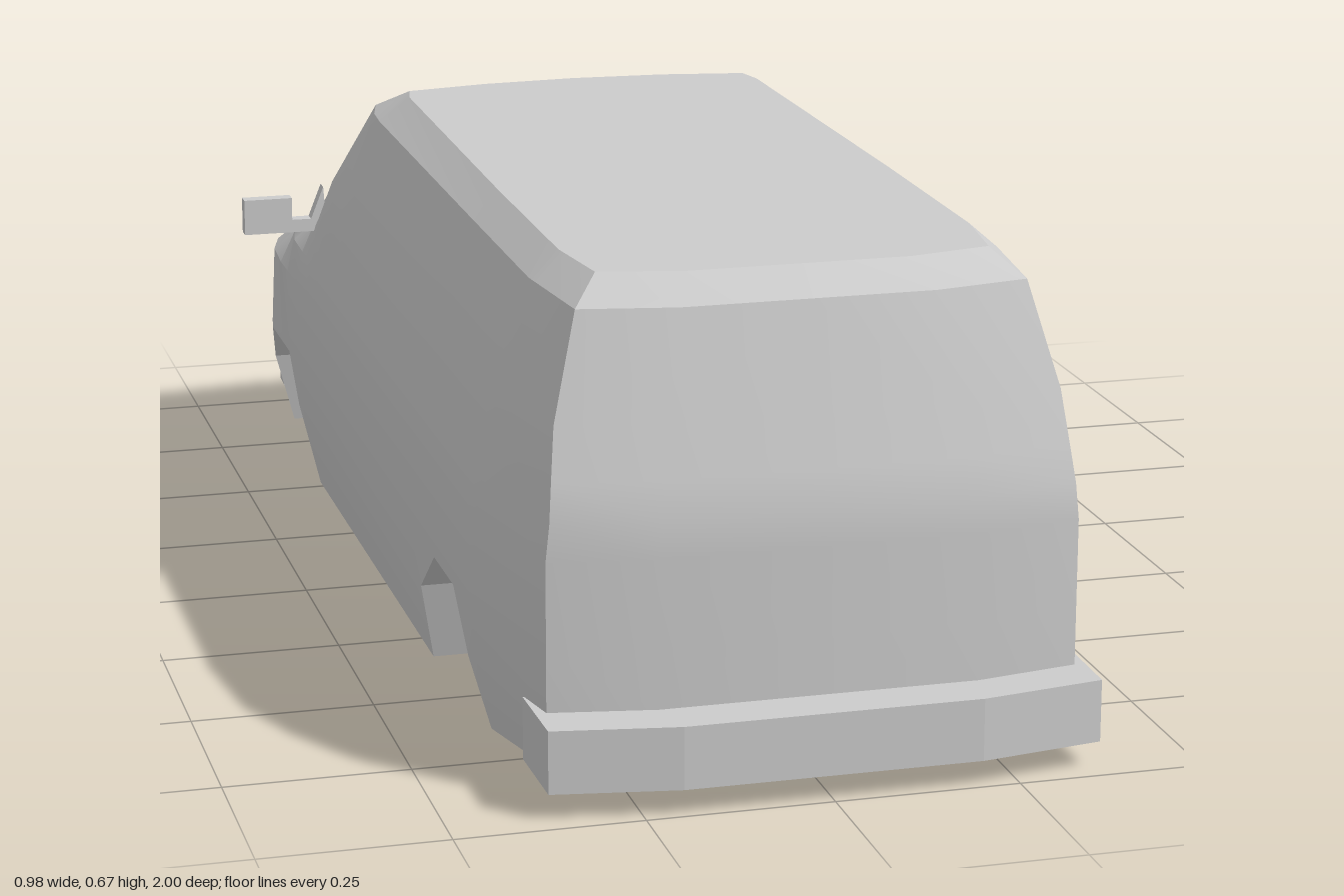
import * as THREE from 'three';
import { toCreasedNormals } from 'three/addons/utils/BufferGeometryUtils.js';

const material = new THREE.MeshStandardMaterial({ color: 0xcccccc });

// Piecewise-linear lookup in [key, value] pairs
function lookup(table, t) {
  if (t <= table[0][0]) return table[0][1];
  for (let i = 1; i < table.length; i++) {
    const [k0, v0] = table[i - 1], [k1, v1] = table[i];
    if (t <= k1) return v0 + (v1 - v0) * (t - k0) / (k1 - k0);
  }
  return table[table.length - 1][1];
}

// Body outline by height: half width, nose z and tail z
const halfWidth = [[0, 0.38], [0.12, 0.405], [0.32, 0.405], [0.49, 0.37], [0.63, 0.32], [0.665, 0.28]];
const noseZ = [[0, -0.96], [0.2, -0.96], [0.32, -0.935], [0.37, -0.8], [0.42, -0.66], [0.63, -0.45], [0.665, -0.375]];
const tailZ = [[0, 0.93], [0.37, 0.93], [0.63, 0.865], [0.665, 0.82]];
const levels = [0, 0.12, 0.2, 0.32, 0.37, 0.42, 0.49, 0.63, 0.665];
// Lower body edge by z, including both wheel arches
const floorEdge = [[0.33, 0], [0.85, 0.035]];
const lowerEdge = [
  [-0.885, 0], [-0.855, 0.12], [-0.79, 0.187], [-0.64, 0.187], [-0.56, 0.12], [-0.52, 0],
  [0.33, 0], [0.37, 0.12], [0.46, 0.19], [0.58, 0.19], [0.67, 0.12], [0.695, 0.025], [0.85, 0.035],
];
const sideColumns = [-0.885, -0.855, -0.79, -0.7, -0.64, -0.56, -0.52, -0.48, -0.42, -0.36, -0.3,
  0.33, 0.37, 0.46, 0.58, 0.67, 0.695];

// One half of a ring at a level, from nose centre along the +x side to tail centre
function halfRing(level) {
  const at = (y) => ({
    w: lookup(halfWidth, y), n: lookup(noseZ, y), r: lookup(tailZ, y),
    f: 0.88 + 0.06 * THREE.MathUtils.clamp((y - 0.32) / 0.31, 0, 1),
  });
  const points = [];
  const front = at(level);
  points.push([0, level, front.n], [front.w * 0.5, level, front.n + 0.008], [front.w * front.f, level, front.n + 0.03]);
  for (const z of sideColumns) {
    const y = Math.max(level, lookup(lowerEdge, z));
    const { w, n, r, f } = at(y);
    const zc = Math.max(z, n + 0.03);
    const plan = lookup([[n + 0.03, f], [n + 0.09, (1 + f) / 2 + 0.015], [n + 0.17, 1], [0.67, 1], [r - 0.025, f]], zc);
    points.push([w * plan, y, zc]);
  }
  const yr = Math.max(level, 0.035), { w, r, f } = at(yr);
  points.push([w * f, yr, r - 0.025], [w * 0.53, yr, r], [0, yr, r]);
  return points;
}

// Complete a half ring by mirroring it across x = 0
const fullRing = (half) => [...half, ...half.slice(1, -1).reverse().map(([x, y, z]) => [-x, y, z])];

// Skin a list of closed rings, skipping collapsed triangles
function loft(rings) {
  const positions = [];
  const tri = new THREE.Triangle();
  const add = (a, b, c) => {
    tri.a.set(...a); tri.b.set(...b); tri.c.set(...c);
    if (tri.getArea() > 1e-7) positions.push(...a, ...b, ...c);
  };
  for (let i = 0; i < rings.length - 1; i++) {
    const lo = rings[i], hi = rings[i + 1];
    for (let j = 0; j < lo.length; j++) {
      const k = (j + 1) % lo.length;
      add(lo[j], hi[j], hi[k]);
      add(lo[j], hi[k], lo[k]);
    }
  }
  const geometry = new THREE.BufferGeometry();
  geometry.setAttribute('position', new THREE.Float32BufferAttribute(positions, 3));
  return toCreasedNormals(geometry, 0.4);
}

function named(geometry, name) {
  const mesh = new THREE.Mesh(geometry, material);
  mesh.name = name;
  return mesh;
}

// Bumper extruded upwards from half of its plan outline
function bumper(name, halfPlan, y, height) {
  const outline = [...halfPlan, ...halfPlan.slice().reverse().map(([x, z]) => [-x, z])];
  const shape = new THREE.Shape(outline.map(([x, z]) => new THREE.Vector2(x, -z)));
  const geometry = new THREE.ExtrudeGeometry(shape, { depth: height, bevelEnabled: false });
  geometry.rotateX(-Math.PI / 2).translate(0, y, 0);
  return named(geometry, name);
}

// Door mirror with its triangular bracket and arm
function doorMirror(side) {
  const outline = [[0.36, 0.41], [0.49, 0.41], [0.49, 0.465], [0.415, 0.465], [0.415, 0.43], [0.385, 0.43], [0.365, 0.48]];
  const shape = new THREE.Shape(outline.map(([x, y]) => new THREE.Vector2(x * side, y)));
  const geometry = new THREE.ExtrudeGeometry(shape, { depth: 0.022, bevelEnabled: false });
  geometry.translate(0, 0, -0.551);
  return named(geometry, side > 0 ? 'leftMirror' : 'rightMirror');
}

export function createModel() {
  const van = new THREE.Group();
  van.name = 'van';

  // Body: floor centre, wheel well walls and ceilings, sides, then roof centre
  const halves = levels.map(halfRing);
  const base = halves[0], top = halves[halves.length - 1];
  const wellX = 0.187;
  const rings = [
    base.map(([, , z]) => [0, lookup(floorEdge, z), z]),
    base.map(([x, , z]) => [Math.min(x, wellX), lookup(floorEdge, z), z]),
    base.map(([x, y, z]) => [Math.min(x, wellX), y, z]),
    ...halves,
    top.map(([, y, z]) => [0, y, z]),
  ];
  van.add(named(loft(rings.map(fullRing)), 'body'));

  // Bumpers
  van.add(bumper('tailBumper', [[0.372, 0.84], [0.37, 0.97], [0.2, 0.998]], 0.035, 0.085));
  van.add(bumper('noseBumper', [[0.372, -0.885], [0.37, -0.93], [0.345, -0.975], [0, -1]], 0.06, 0.06));

  // Mirrors
  for (const side of [1, -1]) van.add(doorMirror(side));
  return van;
}
